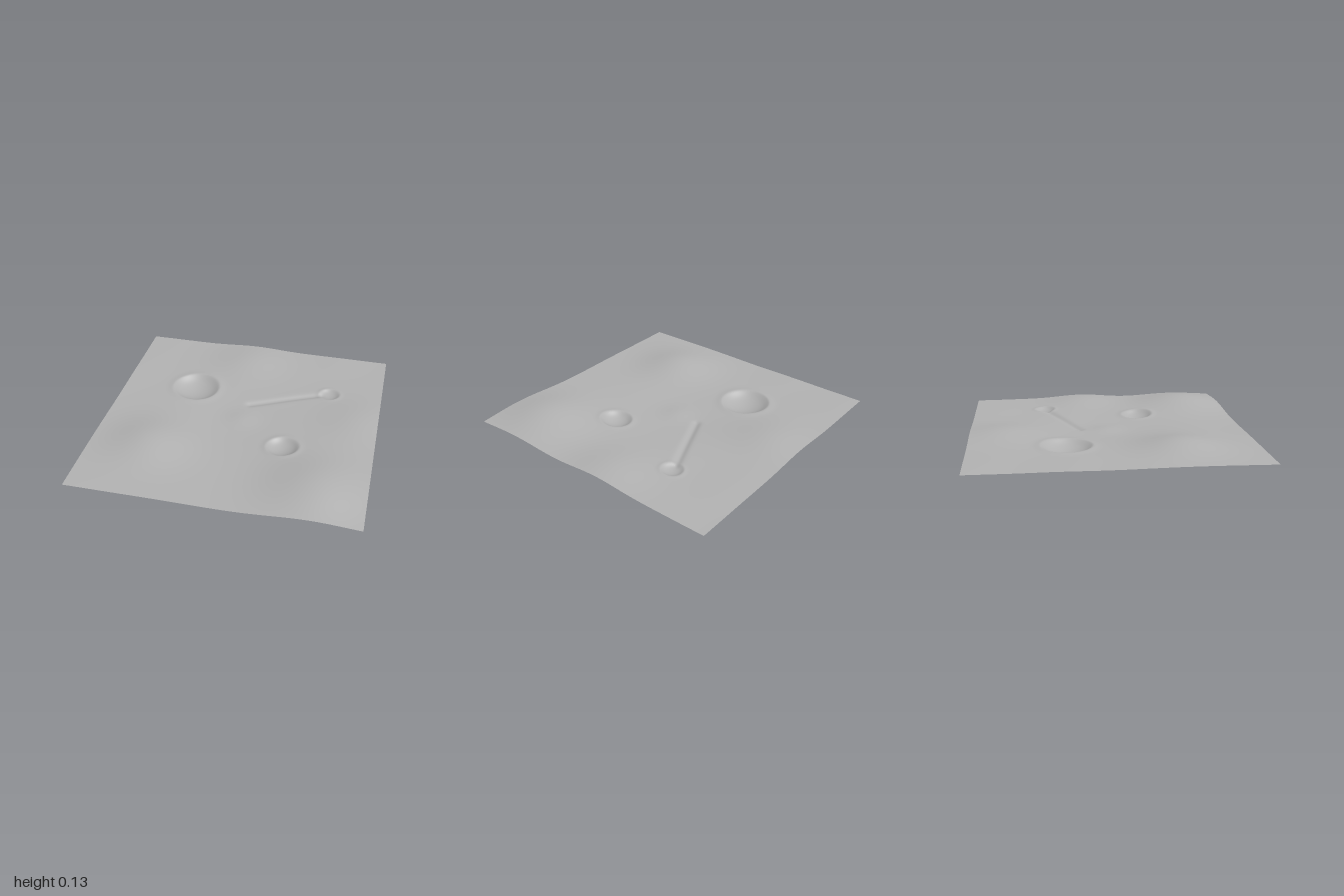
import * as THREE from 'three';

const bell = (d2, s) => Math.exp(-d2 / (2 * s * s));
const dist2 = (x, z, f) => (x - f.x) ** 2 + (z - f.z) ** 2;

// Broad hills, plus the shallow basin and the low dome at its middle
const swells = [
  { x: -0.57, z: 0.45, h: 0.062, s: 0.2 },
  { x: 0.67, z: 0.68, h: 0.077, s: 0.235 },
  { x: -0.1, z: -0.77, h: 0.037, s: 0.19 },
  { x: 0.85, z: -0.12, h: 0.038, s: 0.2 },
  { x: 0, z: 0, h: -0.02, s: 0.24 },
  { x: 0, z: -0.01, h: 0.014, s: 0.085 },
];

// Bowl craters with a small raised lip
const craters = [
  { x: -0.44, z: -0.32, r: 0.18, depth: 0.053, lip: 0.006 },
  { x: 0.36, z: 0.28, r: 0.118, depth: 0.037, lip: 0.005 },
  { x: 0.6, z: -0.44, r: 0.08, depth: 0.021, lip: 0.004 },
];

// Straight trench running from the dome to the smallest crater
const trench = { x: 0.02, z: -0.2, dx: 0.51, dz: -0.22, depth: 0.014, s: 0.02 };

function heightAt(x, z) {
  let y = 0.052;
  for (const f of swells) y += f.h * bell(dist2(x, z, f), f.s);
  for (const c of craters) {
    const d = Math.sqrt(dist2(x, z, c));
    if (d < c.r) y -= c.depth * (1 - (d / c.r) ** 2);
    y += c.lip * bell((d - c.r) ** 2, 0.13 * c.r + 0.004);
  }
  const { dx, dz } = trench;
  const t = ((x - trench.x) * dx + (z - trench.z) * dz) / (dx * dx + dz * dz);
  const k = THREE.MathUtils.clamp(t, 0, 1);
  const d2 = dist2(x, z, { x: trench.x + k * dx, z: trench.z + k * dz });
  y -= trench.depth * bell(d2, trench.s);
  // Faint surface unevenness
  return y + 0.0007 * (Math.sin(9 * x + 4 * z) + Math.sin(11 * z - 5 * x + 1));
}

export function createModel() {
  const group = new THREE.Group();
  group.name = 'crateredTerrain';

  const dust = new THREE.MeshStandardMaterial({ color: 0xb0b0b0, side: THREE.DoubleSide });
  dust.name = 'grey dust';

  // Square sheet displaced by the height rule
  const geometry = new THREE.PlaneGeometry(2, 2, 200, 200).rotateX(-Math.PI / 2);
  const pos = geometry.attributes.position;
  for (let i = 0; i < pos.count; i++) pos.setY(i, heightAt(pos.getX(i), pos.getZ(i)));
  geometry.computeBoundingBox();
  geometry.translate(0, -geometry.boundingBox.min.y, 0);
  geometry.computeVertexNormals();

  const ground = new THREE.Mesh(geometry, dust);
  ground.name = 'groundSurface';
  group.add(ground);
  return group;
}
